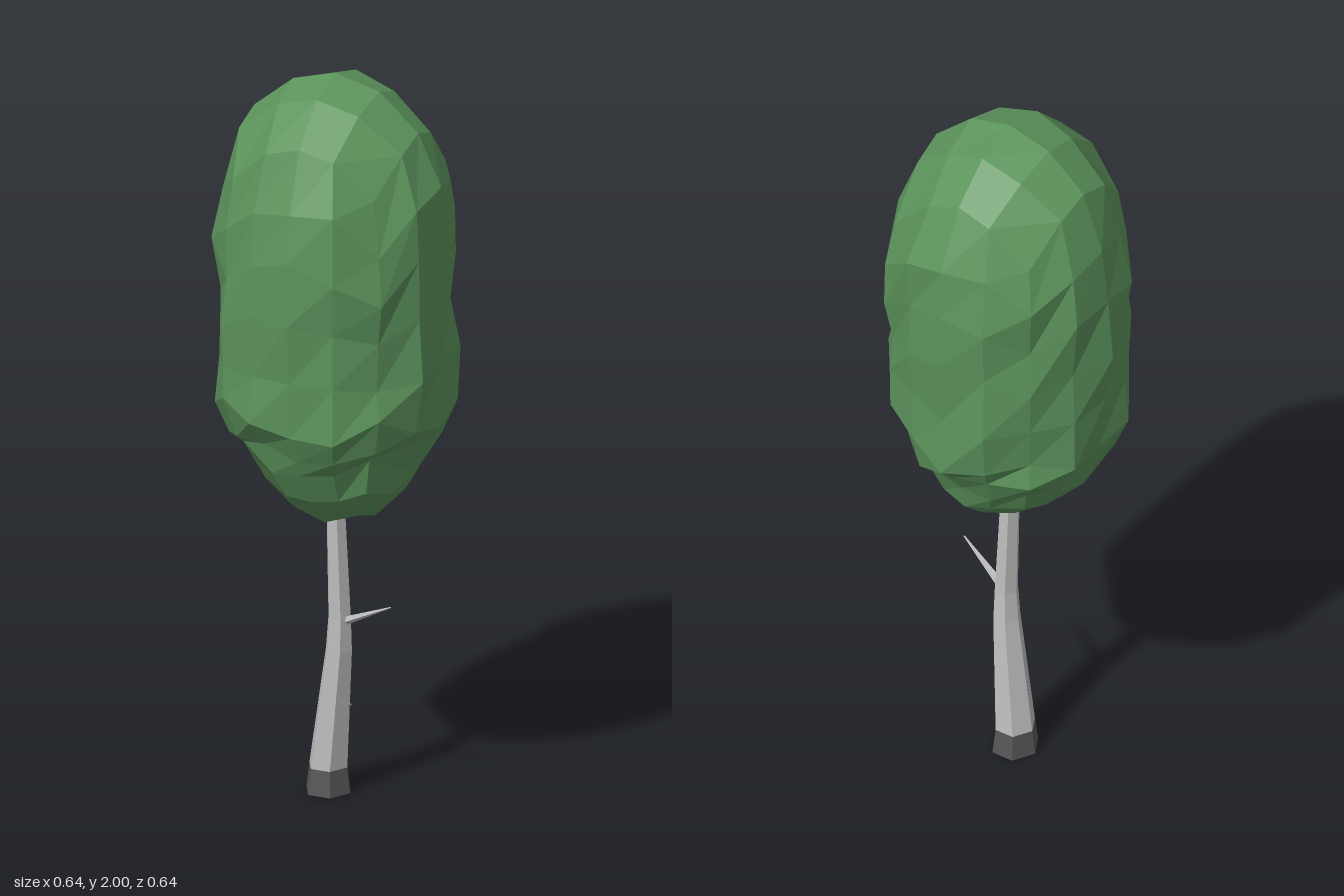
import * as THREE from 'three';

const material = (name, color) => {
  const m = new THREE.MeshStandardMaterial({ color, flatShading: true });
  m.name = name;
  return m;
};

// Skin stacked six-sided rings, each [centre x, y, centre z, radius]
function loft(rings, sides = 6) {
  const positions = [], index = [];
  for (const [x, y, z, r] of rings) {
    for (let i = 0; i < sides; i++) {
      const a = (i / sides) * Math.PI * 2;
      positions.push(x + r * Math.cos(a), y, z + r * 1.08 * Math.sin(a));
    }
  }
  for (let k = 0; k < rings.length - 1; k++) {
    for (let i = 0; i < sides; i++) {
      const a = k * sides + i, b = k * sides + ((i + 1) % sides);
      index.push(a, a + sides, b, b, a + sides, b + sides);
    }
  }
  // Close both ends
  const top = (rings.length - 1) * sides;
  for (let i = 1; i < sides - 1; i++) {
    index.push(0, i, i + 1, top, top + i + 1, top + i);
  }
  const g = new THREE.BufferGeometry();
  g.setAttribute('position', new THREE.Float32BufferAttribute(positions, 3));
  g.setIndex(index);
  g.computeVertexNormals();
  return g;
}

// Tapered stick between two points
function stick(from, to, r0, r1) {
  const a = new THREE.Vector3(...from), b = new THREE.Vector3(...to);
  const dir = b.clone().sub(a);
  const g = new THREE.CylinderGeometry(r1, r0, dir.length(), 5);
  g.applyQuaternion(new THREE.Quaternion().setFromUnitVectors(new THREE.Vector3(0, 1, 0), dir.normalize()));
  const mid = a.add(b).multiplyScalar(0.5);
  return g.translate(mid.x, mid.y, mid.z);
}

// Repeatable noise in -1..1, the same for coincident corners
function noise(x, y, z, seed) {
  const q = (v) => Math.round(v * 50);
  const s = Math.sin(q(x) * 12.9898 + q(y) * 78.233 + q(z) * 37.719 + seed * 4.137) * 43758.5453;
  return (s - Math.floor(s)) * 2 - 1;
}

// Crown outline: [latitude, radius, height]
const OUTLINE = [
  [-90, 0, 0.775], [-67.5, 0.1, 0.79], [-45, 0.185, 0.87], [-33.75, 0.225, 0.94],
  [-22.5, 0.265, 1.01], [-11.25, 0.3, 1.08], [0, 0.315, 1.23], [11.25, 0.313, 1.4],
  [22.5, 0.317, 1.57], [33.75, 0.3, 1.72], [45, 0.235, 1.87], [67.5, 0.125, 1.968], [90, 0, 2],
];

function outlineAt(lat) {
  let i = 0;
  while (i < OUTLINE.length - 2 && lat > OUTLINE[i + 1][0]) i++;
  const [l0, r0, y0] = OUTLINE[i], [l1, r1, y1] = OUTLINE[i + 1];
  const t = THREE.MathUtils.clamp((lat - l0) / (l1 - l0), 0, 1);
  return [r0 + (r1 - r0) * t, y0 + (y1 - y0) * t];
}

// Crown: a subdivided box rounded onto the outline, then dented
function crownGeometry() {
  const g = new THREE.BoxGeometry(2, 2, 2, 4, 8, 4);
  const p = g.attributes.position, d = new THREE.Vector3();
  const warp = (v) => Math.tan((v * Math.PI) / 4);
  for (let i = 0; i < p.count; i++) {
    const bx = p.getX(i), by = p.getY(i), bz = p.getZ(i);
    d.set(warp(bx), warp(by), warp(bz)).normalize();
    const lat = THREE.MathUtils.radToDeg(Math.asin(THREE.MathUtils.clamp(d.y, -1, 1)));
    const [radius, height] = outlineAt(lat);
    const around = Math.hypot(d.x, d.z) || 1;
    const rough = Math.abs(lat) < 40 ? 1 : 0.35;
    const r = radius * (1 + 0.055 * rough * noise(bx, by, bz, 1));
    const y = height + (Math.abs(lat) < 60 ? 0.022 * rough * noise(bx, by, bz, 2) : 0);
    const lean = lat < -40 ? 0.012 : 0;
    p.setXYZ(i, (d.x / around) * r + lean, y, (d.z / around) * r);
  }
  g.computeVertexNormals();
  return g;
}

export function createModel() {
  const model = new THREE.Group();
  model.name = 'tree';
  const leaf = material('leafGreen', 0x5c945c);
  const bark = material('paleBark', 0xbebebe);
  const dark = material('darkBark', 0x565656);

  const add = (name, geometry, mat) => {
    const mesh = new THREE.Mesh(geometry, mat);
    mesh.name = name;
    model.add(mesh);
  };

  add('crown', crownGeometry(), leaf);

  // Bent trunk above a flared dark foot
  add('trunkFoot', loft([[-0.0325, 0, -0.022, 0.063], [-0.0325, 0.07, -0.022, 0.054]]), dark);
  add('trunk', loft([
    [-0.0325, 0.07, -0.022, 0.054],
    [0.003, 0.4, -0.01, 0.037],
    [0.006, 0.49, -0.008, 0.032],
    [-0.006, 0.88, -0.003, 0.025],
  ]), bark);

  // Side branch and a small knot
  add('branch', stick([0.025, 0.485, -0.002], [0.172, 0.557, 0.038], 0.012, 0.002), bark);
  add('knot', stick([0.02, 0.24, -0.018], [0.036, 0.248, -0.018], 0.009, 0.004), dark);

  return model;
}
